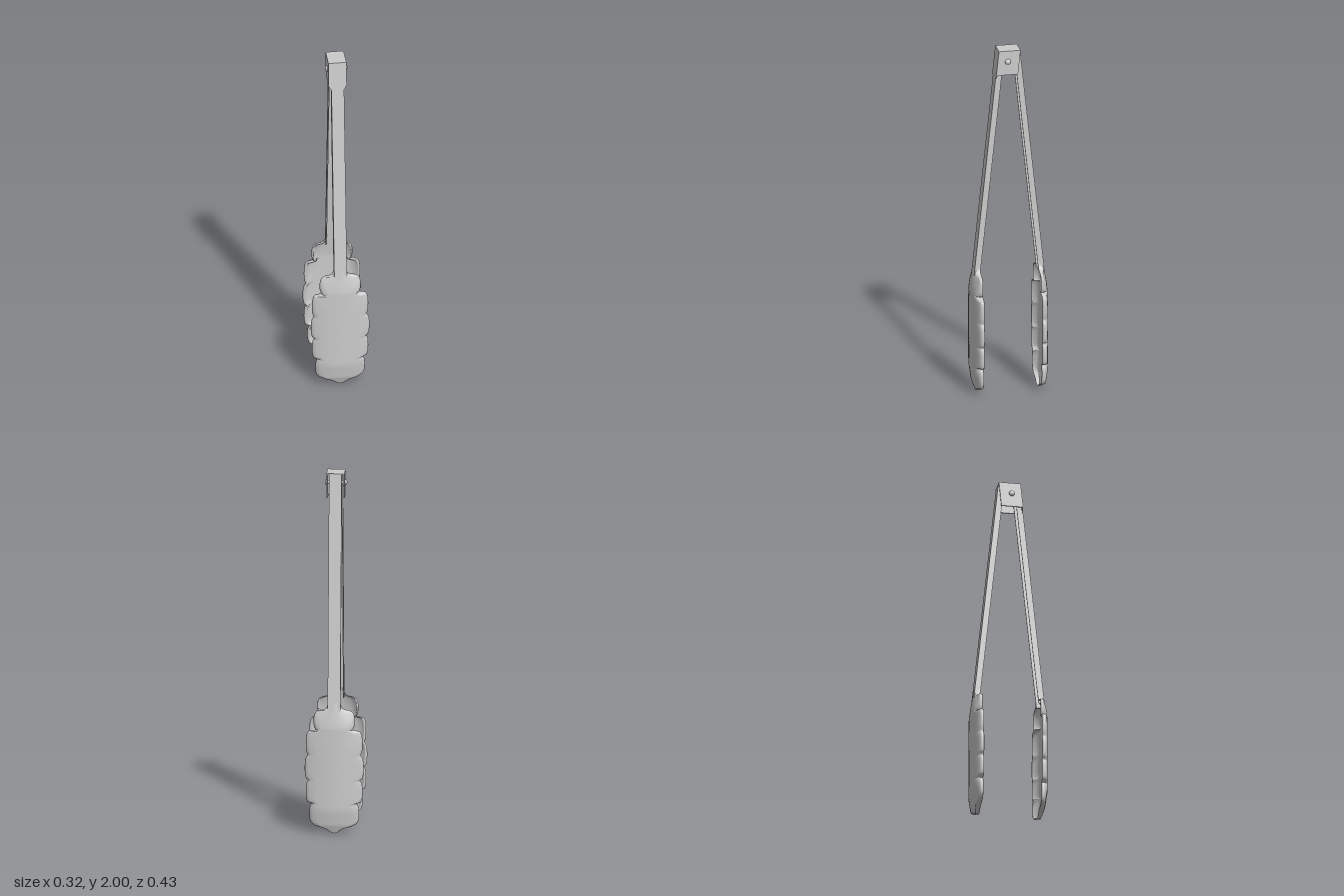
import * as THREE from 'three';

const material = new THREE.MeshStandardMaterial({ color: 0xcccccc, side: THREE.DoubleSide });
const SLOPE = 0.105;                       // outward lean of each arm
const TILT = -Math.atan(SLOPE);
const armZ = (y) => 0.06 + SLOPE * (2 - y); // outer face of the front arm

function part(name, geometry, parent) {
  const mesh = new THREE.Mesh(geometry, material);
  mesh.name = name;
  parent.add(mesh);
  return mesh;
}

function polygon(points) {
  return new THREE.Shape(points.map(([x, y]) => new THREE.Vector2(x, y)));
}

// Piecewise linear lookup in a table of [key, value]
function lookup(table, k) {
  for (let i = 1; i < table.length; i++) {
    const [a, va] = table[i - 1], [b, vb] = table[i];
    if (k <= b) return va + (vb - va) * Math.max(0, (k - a) / (b - a));
  }
  return table[table.length - 1][1];
}

// Half width of the scoop from tip to neck: scalloped lobes between two ends
function scoopOutline() {
  const rows = [[0.003, 0.002], [0.006, 0.016], [0.014, 0.03], [0.024, 0.042], [0.032, 0.062], [0.038, 0.09]];
  const lobes = [[0.045, 0.17, 0.137], [0.17, 0.3, 0.156], [0.3, 0.437, 0.162],
    [0.437, 0.575, 0.156], [0.582, 0.685, 0.113]];
  lobes.forEach(([y0, y1, w], n) => {
    for (const s of [0, 0.06, 0.15, 0.3, 0.5, 0.7, 0.85, 0.94, 1]) {
      if (s === 0 && n > 0 && n < 4) continue; // shared notch
      const deep = n === 0 && s < 0.5 ? 0.03 : 0.014;
      rows.push([y0 + (y1 - y0) * s, w - deep * Math.abs(2 * s - 1) ** 4]);
    }
  });
  rows.push([0.692, 0.085], [0.697, 0.055], [0.708, 0.042], [0.725, 0.036], [0.74, 0.035]);
  return rows;
}

// Thin dished shell with a rolled-in rim, lofted from closed cross-sections
function scoopGeometry() {
  const crown = [[0, 0.182], [0.05, 0.2], [0.13, 0.212], [0.6, 0.213], [0.7, 0.199], [0.74, 0.194]];
  const envelope = [[0, 0.06], [0.04, 0.13], [0.15, 0.155], [0.5, 0.158], [0.64, 0.118], [0.7, 0.06], [0.74, 0.04]];
  const rimZ = 0.162;
  // [fraction of half width, fraction of depth]; depth null follows the dome
  const outer = [[0, null], [0.2, null], [0.42, null], [0.65, null], [0.86, null],
    [0.95, 0.53], [0.99, 0.64], [1, 0.78], [0.985, 0.92], [0.95, 1], [0.9, 0.97]];
  const inner = [[0.82, null], [0.62, null], [0.4, null], [0.2, null], [0, null]];
  const half = [...outer.map((p) => [...p, 0]), ...inner.map((p) => [...p, 0.2])];
  const loop = [...half, ...half.slice(1, -1).reverse().map(([u, d, o]) => [-u, d, o])];
  const rows = scoopOutline(), n = loop.length, positions = [], index = [];
  for (const [y, w] of rows) {
    const zc = lookup(crown, y), e = lookup(envelope, y);
    for (const [u, d, o] of loop) {
      const t = Math.min(1, Math.abs(u * w) / e);
      const depth = d === null ? 0.48 * t * t + o : d;
      positions.push(u * w, y, zc - depth * (zc - rimZ));
    }
  }
  for (let r = 0; r < rows.length - 1; r++) {
    for (let i = 0; i < n; i++) {
      const a = r * n + i, b = r * n + (i + 1) % n;
      index.push(a, b, b + n, a, b + n, a + n);
    }
  }
  const g = new THREE.BufferGeometry();
  g.setAttribute('position', new THREE.Float32BufferAttribute(positions, 3));
  g.setIndex(index);
  g.computeVertexNormals();
  return g;
}

// U-shaped channel, open towards the inside of the tongs
function armGeometry(length) {
  const w = 0.035, d = 0.033, t = 0.006;
  const profile = polygon([[-w, 0], [w, 0], [w, d], [w - t, d], [w - t, t], [t - w, t], [t - w, d], [-w, d]]);
  return new THREE.ExtrudeGeometry(profile, { depth: length, bevelEnabled: false }).rotateX(-Math.PI / 2);
}

export function createModel() {
  const model = new THREE.Group();
  model.name = 'tongs';

  // Two mirrored legs
  const scoop = scoopGeometry();
  const base = 0.69;
  const channel = armGeometry((1.993 - base) / Math.cos(TILT));
  ['front', 'back'].forEach((side, i) => {
    const leg = new THREE.Group();
    leg.name = side + 'Leg';
    leg.rotation.y = i * Math.PI;
    const arm = part(side + 'Arm', channel, leg);
    arm.position.set(0, base, armZ(base));
    arm.rotation.x = TILT;
    part(side + 'Scoop', scoop, leg);
    model.add(leg);
  });

  // Hinge housing: top, front plate and two cheeks, open at back and bottom
  const hinge = new THREE.Group();
  hinge.name = 'hinge';
  model.add(hinge);
  const t = 0.007;
  part('hingeTop', new THREE.BoxGeometry(0.1, t, 0.12), hinge).position.set(0, 2 - t / 2, 0);

  const frontShape = polygon([[-0.05, 0], [-0.05, -0.14], [-0.036, -0.165], [0.036, -0.165], [0.05, -0.14], [0.05, 0]]);
  const plate = part('hingeFront', new THREE.ExtrudeGeometry(frontShape, { depth: t, bevelEnabled: false }).translate(0, 0, -t + 0.001), hinge);
  plate.position.set(0, 2, 0.06);
  plate.rotation.x = TILT;

  const cheekShape = polygon([[-0.06, 2], [0.06, 2], [0.046, 1.86], [-0.0745, 1.86]]);
  const cheek = new THREE.ExtrudeGeometry(cheekShape, { depth: t, bevelEnabled: false }).rotateY(Math.PI / 2);
  const dome = new THREE.SphereGeometry(0.016, 20, 8, 0, Math.PI * 2, 0, Math.PI / 2).scale(1, 0.75, 1);
  for (const s of [1, -1]) {
    const name = s > 0 ? 'left' : 'right';
    part(name + 'Cheek', cheek, hinge).position.x = s > 0 ? 0.05 - t : -0.05;
    const rivet = part(name + 'Rivet', dome, hinge);
    rivet.position.set(s * 0.05, 1.937, 0.011);
    rivet.rotation.z = -s * Math.PI / 2;
  }

  // Pin joining the rivets through both arms
  const pin = part('hingePin', new THREE.CylinderGeometry(0.008, 0.008, 0.098, 16), hinge);
  pin.position.set(0, 1.937, 0.011);
  pin.rotation.z = Math.PI / 2;

  return model;
}
